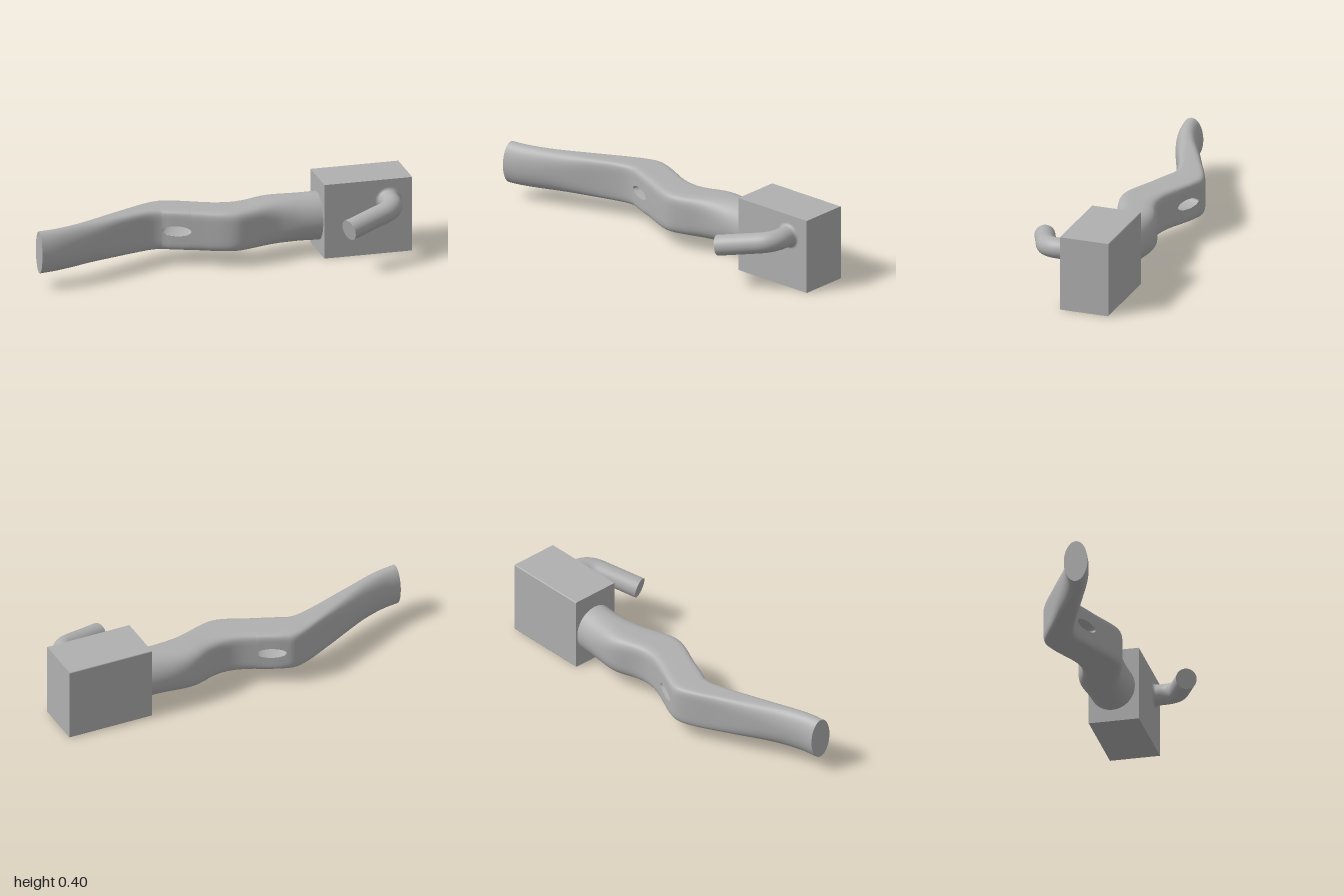
import * as THREE from 'three';
import { mergeVertices } from 'three/addons/utils/BufferGeometryUtils.js';

// Smooth lookup in a table of [x, value] pairs
function sample(table, x) {
  const last = table.length - 1;
  let i = 0;
  while (i < last - 1 && x > table[i + 1][0]) i++;
  const slope = (k) => {
    const a = table[Math.max(0, k - 1)], b = table[Math.min(last, k + 1)];
    return (b[1] - a[1]) / (b[0] - a[0]);
  };
  const [x0, v0] = table[i], [x1, v1] = table[i + 1];
  const d = x1 - x0, t = (x - x0) / d, t2 = t * t, t3 = t2 * t;
  return v0 * (2 * t3 - 3 * t2 + 1) + v1 * (3 * t2 - 2 * t3)
    + d * (slope(i) * (t3 - 2 * t2 + t) + slope(i + 1) * (t3 - t2));
}

// Bar outline: front and back edge, top and bottom edge, squareness
const FRONT = [[-1, 0.105], [-0.9, 0.088], [-0.8, 0.057], [-0.65, -0.005], [-0.5, -0.07], [-0.38, -0.11], [-0.31, -0.115],
  [-0.25, -0.092], [-0.12, -0.037], [0, 0.015], [0.07, 0.03], [0.15, 0.016], [0.25, -0.012], [0.33, -0.021], [0.55, -0.01]];
const BACK = [[-1, -0.02], [-0.92, -0.032], [-0.8, -0.073], [-0.65, -0.14], [-0.5, -0.207], [-0.33, -0.286], [-0.26, -0.3],
  [-0.2, -0.282], [-0.1, -0.238], [0, -0.2], [0.08, -0.19], [0.15, -0.203], [0.25, -0.242], [0.33, -0.254], [0.55, -0.248]];
const TOP = [[-1, 0.305], [-0.5, 0.3], [0.1, 0.3], [0.3, 0.308], [0.55, 0.317]];
const BOTTOM = [[-1, 0.08], [-0.7, 0.085], [-0.4, 0.081], [0.1, 0.08], [0.3, 0.072], [0.55, 0.063]];
const POWER = [[-1, 2], [-0.7, 2.6], [-0.35, 6], [0, 6], [0.2, 4], [0.4, 2.3], [0.55, 2]];

// Slanted oval hole through the bar
const HOLE = { front: -0.23, back: -0.15, y: 0.19, rx: 0.07, ry: 0.027, steps: 20 };
const holeHalf = (x, centre) => HOLE.ry * Math.sqrt(Math.max(0, 1 - ((x - centre) / HOLE.rx) ** 2));

function barPoint(x, theta, upper) {
  const zf = sample(FRONT, x), zb = sample(BACK, x), yt = sample(TOP, x), yb = sample(BOTTOM, x);
  const p = 2 / sample(POWER, x), c = Math.cos(theta), s = Math.sin(theta);
  const half = (yt - yb) / 2;
  const gap = holeHalf(x, c > 0 ? HOLE.front : HOLE.back);
  const rise = gap + half * Math.abs(s) ** p * (1 - gap / half);
  return [x, (yt + yb) / 2 + (upper ? rise : -rise), (zf + zb) / 2 + (zf - zb) / 2 * Math.sign(c) * Math.abs(c) ** p];
}

function toGeometry(positions, index) {
  let g = new THREE.BufferGeometry();
  g.setAttribute('position', new THREE.Float32BufferAttribute(positions, 3));
  g.setIndex(index);
  g = mergeVertices(g, 1e-4);
  g.computeVertexNormals();
  return g;
}

// Upper and lower shells, parted only where the hole passes
function barGeometry() {
  const xs = [];
  for (let i = 0; i <= 90; i++) xs.push(-1 + 1.55 * i / 90);
  for (const centre of [HOLE.front, HOLE.back])
    for (let i = 0; i <= HOLE.steps; i++) xs.push(centre + HOLE.rx * Math.cos(Math.PI * i / HOLE.steps));
  xs.sort((a, b) => a - b);
  const columns = xs.filter((x, i) => i === 0 || x - xs[i - 1] > 3e-4);
  const positions = [], index = [], n = 32;
  for (const upper of [true, false]) {
    const base = positions.length / 3;
    columns.forEach((x, i) => {
      for (let j = 0; j <= n; j++) {
        positions.push(...barPoint(x, Math.PI * (j / n + (upper ? 0 : 1)), upper));
        if (i === 0 || j === 0) continue;
        const d = base + i * (n + 1) + j, a = d - n - 2;
        index.push(a, d - 1, d, a, d, a + 1);
      }
    });
  }
  return toGeometry(positions, index);
}

// Flat end of the bar
function endGeometry() {
  const n = 64, positions = [-1, 0.1925, 0.0425], index = [];
  for (let j = 0; j < n; j++) {
    const theta = 2 * Math.PI * j / n;
    positions.push(...barPoint(-1, theta, j < n / 2));
    index.push(0, 1 + j, 1 + (j + 1) % n);
  }
  return toGeometry(positions, index);
}

// Inner wall of the hole
function holeGeometry() {
  const n = HOLE.steps * 2, positions = [], index = [];
  for (let i = 0; i < n; i++) {
    const t = 2 * Math.PI * i / n, dx = HOLE.rx * Math.cos(t), y = HOLE.y + HOLE.ry * Math.sin(t);
    const xf = HOLE.front + dx, xb = HOLE.back + dx;
    positions.push(xf, y, sample(FRONT, xf), xb, y, sample(BACK, xb));
    const a = 2 * i, b = 2 * ((i + 1) % n);
    index.push(a, b, b + 1, a, b + 1, a + 1);
  }
  return toGeometry(positions, index);
}

// Block with slightly rounded rear edges
function blockGeometry() {
  const r = 0.006, f = -0.01, b = 0.257, h = 0.4;
  const s = new THREE.Shape();
  s.moveTo(f, 0);
  s.lineTo(b - r, 0);
  s.absarc(b - r, r, r, -Math.PI / 2, 0, false);
  s.lineTo(b, h - r);
  s.absarc(b - r, h - r, r, 0, Math.PI / 2, false);
  s.lineTo(f, h);
  s.closePath();
  const g = new THREE.ExtrudeGeometry(s, { depth: 0.468, bevelEnabled: false, curveSegments: 5 });
  g.rotateY(Math.PI / 2);
  g.translate(0.532, 0, 0);
  return g;
}

export function createModel() {
  const model = new THREE.Group();
  const grey = new THREE.MeshStandardMaterial({ color: 0xb0b0b0 });
  grey.name = 'grey';
  const add = (name, geometry) => {
    const mesh = new THREE.Mesh(geometry, grey);
    mesh.name = name;
    model.add(mesh);
    return mesh;
  };

  add('bar', barGeometry());
  add('barEnd', endGeometry());
  add('holeWall', holeGeometry());
  add('block', blockGeometry());

  // Bent rod on the front of the block
  const radius = 0.054;
  const start = new THREE.Vector3(0.875, 0.285, 0);
  const corner = new THREE.Vector3(0.875, 0.285, 0.13);
  const end = new THREE.Vector3(0.597, 0.228, 0.245);
  const dir = end.clone().sub(corner).normalize();
  const bendIn = corner.clone().add(new THREE.Vector3(0, 0, -0.078));
  const bendOut = corner.clone().addScaledVector(dir, 0.078);
  const path = new THREE.CurvePath();
  path.add(new THREE.LineCurve3(start, bendIn));
  path.add(new THREE.QuadraticBezierCurve3(bendIn, corner, bendOut));
  path.add(new THREE.LineCurve3(bendOut, end));
  add('rod', new THREE.TubeGeometry(path, 80, radius, 40, false));

  const rodEnd = add('rodEnd', new THREE.CircleGeometry(radius, 40));
  rodEnd.position.copy(end);
  rodEnd.quaternion.setFromUnitVectors(new THREE.Vector3(0, 0, 1), dir);

  // Fillet where the rod meets the block
  const profile = [], f = 0.018;
  for (let i = 0; i <= 8; i++) {
    const a = Math.PI / 2 * i / 8;
    profile.push(new THREE.Vector2(radius + f * (1 - Math.sin(a)), f * (1 - Math.cos(a))));
  }
  const fillet = add('rodFillet', new THREE.LatheGeometry(profile, 40));
  fillet.rotation.x = Math.PI / 2;
  fillet.position.set(0.875, 0.285, 0.01);

  return model;
}
